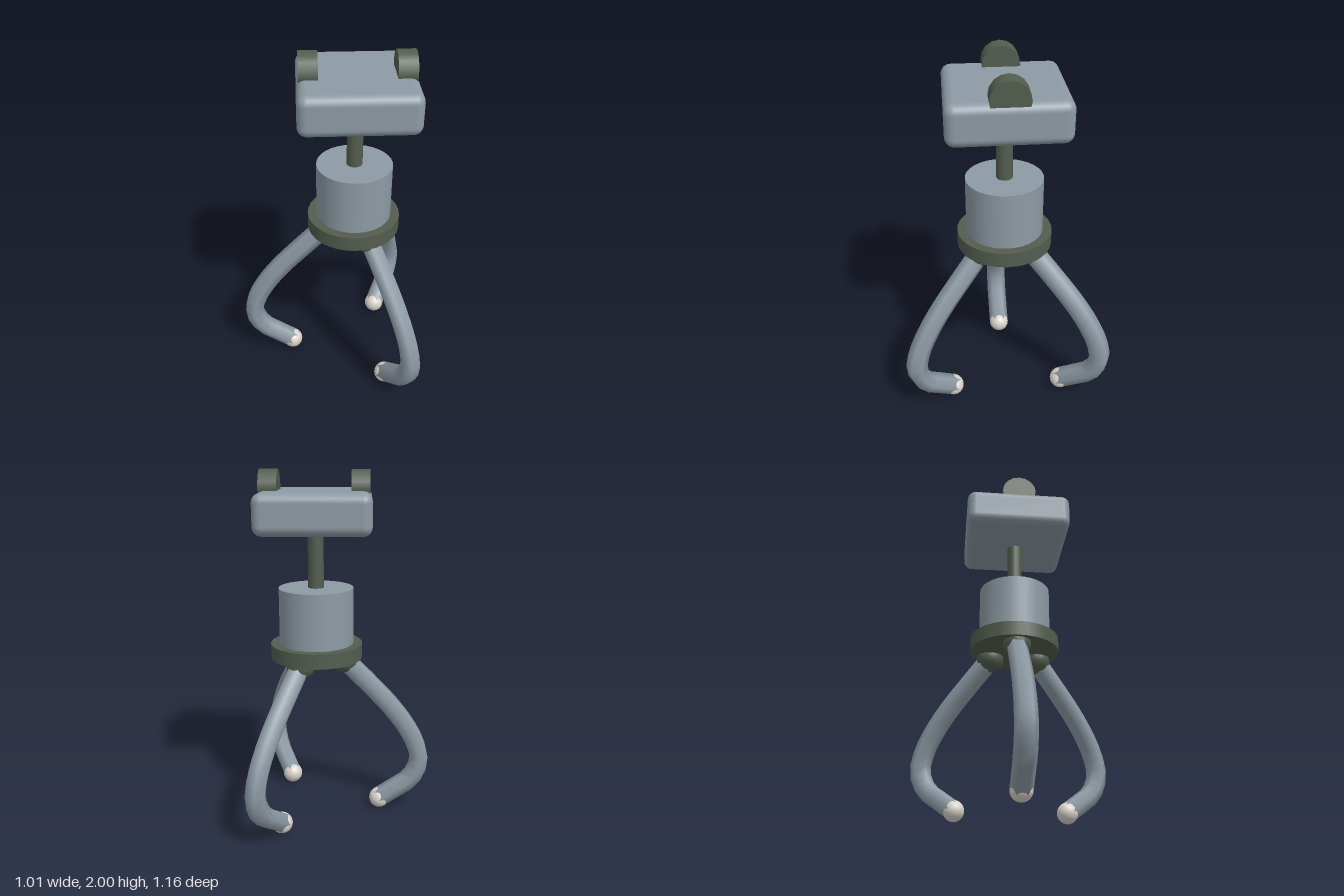
import * as THREE from 'three';
import { RoundedBoxGeometry } from 'three/addons/geometries/RoundedBoxGeometry.js';

const AXIS_X = 0.148; // the body axis sits off centre because of the three-way leg spread

export function createModel() {
  const model = new THREE.Group();
  model.name = 'gripperClaw';

  const mat = (name, color, side = THREE.FrontSide) => {
    const m = new THREE.MeshStandardMaterial({ color, side });
    m.name = name;
    return m;
  };
  const steel = mat('blueGreySteel', 0x8d9aa4, THREE.DoubleSide);
  const dark = mat('darkGreenMetal', 0x535d4f);
  const pale = mat('paleRubber', 0xdad3cb);

  const body = new THREE.Group();
  body.name = 'body';
  body.position.x = AXIS_X;
  model.add(body);

  const add = (parent, name, geometry, material, x = 0, y = 0, z = 0) => {
    const mesh = new THREE.Mesh(geometry, material);
    mesh.name = name;
    mesh.position.set(x, y, z);
    parent.add(mesh);
    return mesh;
  };
  const cylinder = (name, r, y0, y1, material, sides = 32) =>
    add(body, name, new THREE.CylinderGeometry(r, r, y1 - y0, sides), material, 0, (y0 + y1) / 2);

  // Stacked body on one axis
  cylinder('basePlate', 0.26, 0.955, 1.04, dark);
  cylinder('motorHousing', 0.21, 1.04, 1.357, steel);
  cylinder('shaft', 0.044, 1.34, 1.69, dark, 16);
  add(body, 'mountBlock', new RoundedBoxGeometry(0.62, 0.22, 0.62, 4, 0.05), steel, 0, 1.78);

  // Pair of round lugs on the block
  for (const side of [-1, 1]) {
    const lug = add(body, side < 0 ? 'rightLug' : 'leftLug',
      new THREE.CylinderGeometry(0.1, 0.1, 0.1, 16), dark, side * 0.248, 1.9, 0);
    lug.rotation.z = Math.PI / 2;
  }

  // Curved finger, modelled along +x: distance from the axis, height
  const path = new THREE.CatmullRomCurve3([
    [0.16, 0.94], [0.335, 0.76], [0.418, 0.67], [0.51, 0.55], [0.58, 0.42],
    [0.601, 0.31], [0.555, 0.2], [0.46, 0.127], [0.37, 0.066],
  ].map(([r, y]) => new THREE.Vector3(r, y, 0)));
  const fingerGeometry = new THREE.TubeGeometry(path, 18, 0.06, 6, false);
  const knuckleGeometry = new THREE.SphereGeometry(0.08, 20, 14);
  const tipGeometry = new THREE.SphereGeometry(0.06, 20, 14);

  // Three fingers spaced evenly round the axis
  [Math.PI, Math.PI / 3, -Math.PI / 3].forEach((angle, i) => {
    const finger = new THREE.Group();
    finger.name = `finger${i + 1}`;
    finger.rotation.y = angle;
    body.add(finger);
    add(finger, 'knuckle', knuckleGeometry, dark, 0.16, 0.942);
    add(finger, 'fingerArm', fingerGeometry, steel);
    add(finger, 'fingerTip', tipGeometry, pale, 0.37, 0.064);
  });

  return model;
}
